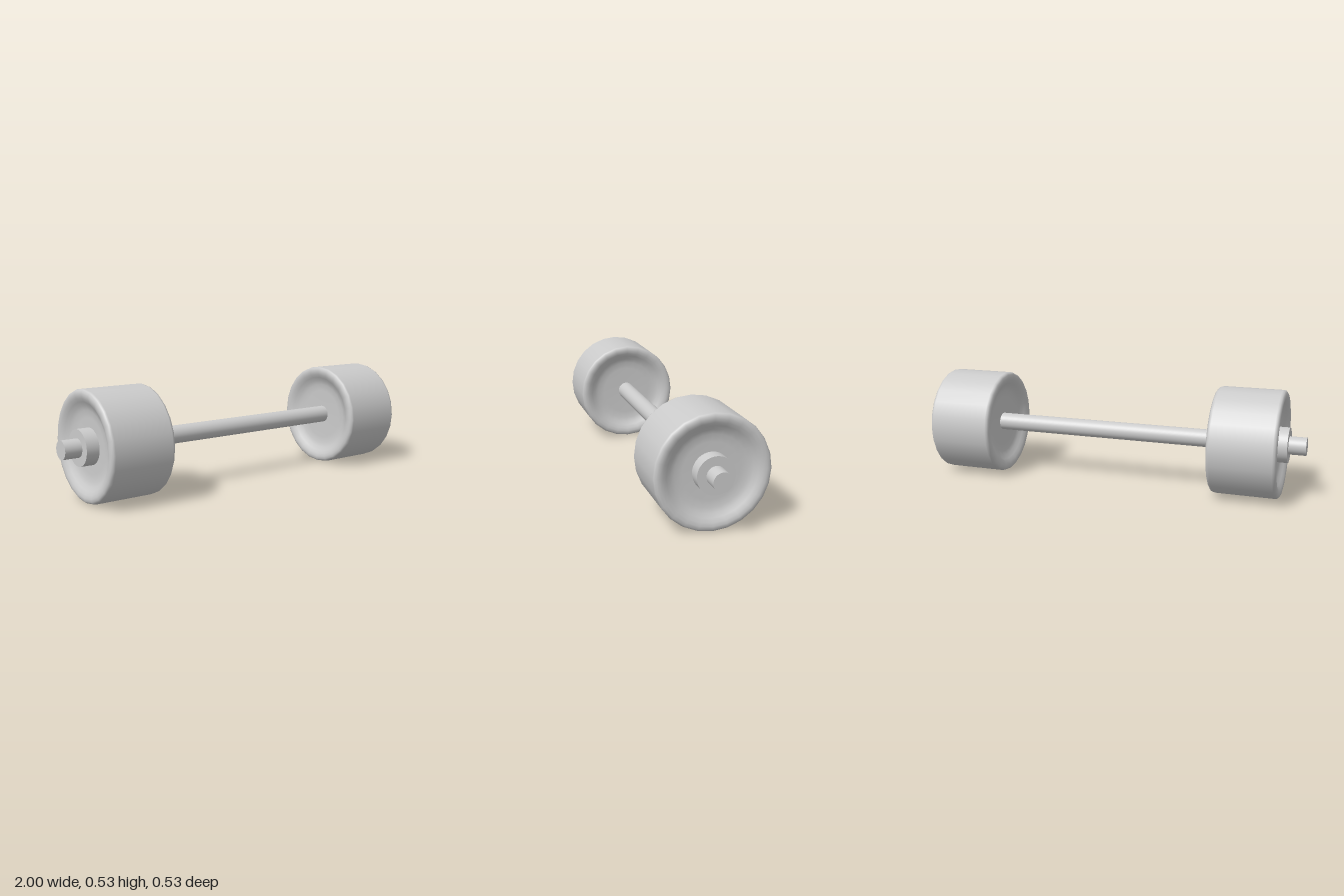
import * as THREE from 'three';

const AXIS_Y = 0.266;
const material = new THREE.MeshStandardMaterial({ color: 0xcccccc });

// Adds a part whose own axis (y) is laid along x
function addPart(parent, name, geometry, x) {
  geometry.rotateZ(-Math.PI / 2);
  const mesh = new THREE.Mesh(geometry, material);
  mesh.name = name;
  mesh.position.set(x, AXIS_Y, 0);
  parent.add(mesh);
}

// Wheel with rounded shoulders and a shallow dish on both faces
function wheelGeometry() {
  const half = [
    [0.264, 0.147], [0.261, 0.157], [0.252, 0.164], [0.238, 0.165], [0.222, 0.161],
    [0.205, 0.151], [0.187, 0.14], [0.165, 0.132], [0.13, 0.128], [0, 0.127],
  ];
  const profile = [
    ...half.map(([r, y]) => new THREE.Vector2(r, -y)).reverse(),
    ...half.map(([r, y]) => new THREE.Vector2(r, y)),
  ];
  return new THREE.LatheGeometry(profile, 24);
}

export function createModel() {
  const group = new THREE.Group();
  group.name = 'wheelAxle';

  // Bar running the full length
  addPart(group, 'axle', new THREE.CylinderGeometry(0.044, 0.044, 2, 48), 0);

  // Wheel and outer retaining collar at each end
  for (const [side, s] of [['left', 1], ['right', -1]]) {
    addPart(group, side + 'Wheel', wheelGeometry(), s * 0.726);
    addPart(group, side + 'Collar', new THREE.CylinderGeometry(0.086, 0.086, 0.08, 48), s * 0.877);
  }
  return group;
}
